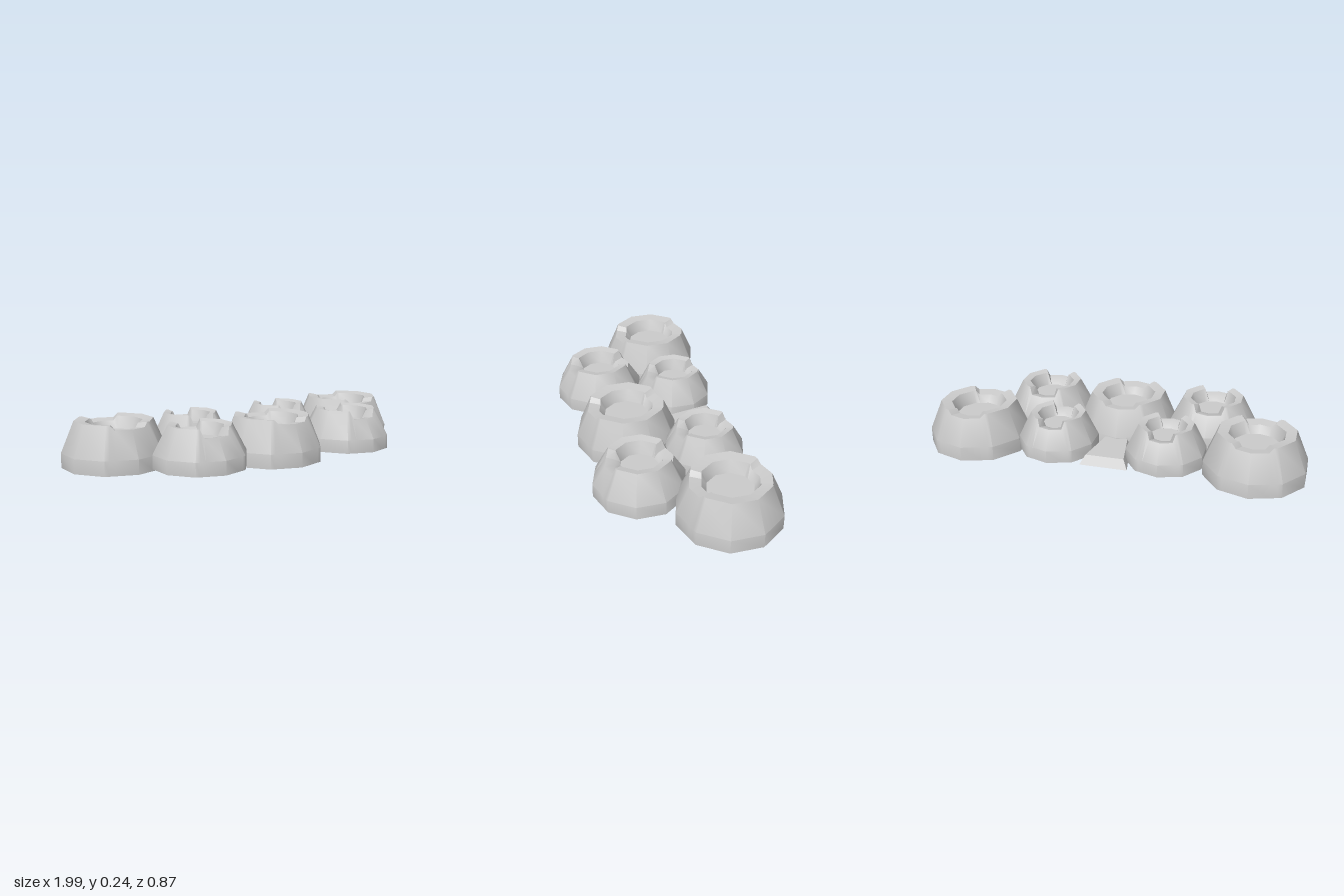
import * as THREE from 'three';
import { toCreasedNormals } from 'three/addons/utils/BufferGeometryUtils.js';

const material = new THREE.MeshStandardMaterial({ color: 0xcccccc, side: THREE.DoubleSide });

// columns around a pod (degrees): ten-sided corners plus the edges of the lowered sectors
const quadrant = [18, 54, 59, 66, 90];
const columns = [
  ...quadrant,
  ...quadrant.slice(0, 4).reverse().map((a) => 180 - a),
  ...quadrant.map((a) => 180 + a),
  ...quadrant.slice(0, 4).reverse().map((a) => 360 - a),
];

// radius factor of a ten-sided ring with corners on the z axis
function tenSided(deg) {
  const local = ((((deg - 90) % 36) + 36) % 36) - 18;
  return Math.cos(Math.PI / 10) / Math.cos(THREE.MathUtils.degToRad(local));
}

function mesh(name, positions) {
  const geometry = new THREE.BufferGeometry();
  geometry.setAttribute('position', new THREE.Float32BufferAttribute(positions, 3));
  const result = new THREE.Mesh(toCreasedNormals(geometry, THREE.MathUtils.degToRad(38)), material);
  result.name = name;
  return result;
}

// hollow crater: band, tapering wall, rim lowered at front and back, sunken floor
function pod(name, p, x, z) {
  const rows = columns.map((deg) => {
    const low = Math.abs(Math.sin(THREE.MathUtils.degToRad(deg))) > 0.9;
    const rimY = low ? p.low : p.top;
    const t = (rimY - p.band) / (p.top - p.band);
    const rimR = THREE.MathUtils.lerp(p.radius, p.rim, t) - (low ? p.recess : 0);
    const profile = [
      [p.radius, p.base], [p.radius, p.band], [rimR, rimY],
      [p.inner, rimY - 0.008], [p.floorRadius, p.floor], [0, p.floor],
    ];
    const k = tenSided(deg);
    const a = THREE.MathUtils.degToRad(deg);
    return profile.map(([r, y]) => [r * k * Math.cos(a), y, r * k * Math.sin(a)]);
  });
  const positions = [];
  rows.forEach((row, i) => {
    const next = rows[(i + 1) % rows.length];
    for (let j = 0; j < row.length - 1; j++) {
      if (j < row.length - 2) positions.push(...row[j], ...row[j + 1], ...next[j + 1]);
      positions.push(...row[j], ...next[j + 1], ...next[j]);
    }
  });
  const result = mesh(name, positions);
  result.position.set(x, 0, z);
  return result;
}

// tapered plate with bevelled sides
function plate() {
  const ring = (y, back, backZ, front, frontZ) => [
    [-back, y, backZ], [back, y, backZ], [front, y, frontZ], [-front, y, frontZ],
  ];
  const b = ring(0.025, 0.125, -0.36, 0.075, -0.1);
  const t = ring(0.07, 0.1, -0.33, 0.06, -0.1);
  const positions = [];
  const quad = (p, q, r, s) => positions.push(...p, ...q, ...r, ...p, ...r, ...s);
  quad(t[3], t[2], t[1], t[0]);
  quad(b[0], b[1], b[2], b[3]);
  for (let i = 0; i < 4; i++) {
    const n = (i + 1) % 4;
    quad(b[i], t[i], t[n], b[n]);
  }
  return mesh('rearPlate', positions);
}

export function createModel() {
  const group = new THREE.Group();
  group.name = 'craterCluster';

  const large = {
    radius: 0.267, rim: 0.2, inner: 0.145, floorRadius: 0.118,
    base: 0, band: 0.075, top: 0.235, low: 0.212, floor: 0.165, recess: 0.004,
  };
  const medium = {
    radius: 0.236, rim: 0.162, inner: 0.122, floorRadius: 0.096,
    base: 0.025, band: 0.095, top: 0.237, low: 0.195, floor: 0.165, recess: 0.012,
  };
  const small = {
    radius: 0.208, rim: 0.142, inner: 0.108, floorRadius: 0.086,
    base: 0.03, band: 0.095, top: 0.23, low: 0.19, floor: 0.163, recess: 0.01,
  };

  group.add(pod('centrePod', large, 0, 0.152));
  for (const [side, s] of [['left', 1], ['right', -1]]) {
    group.add(pod(side + 'OuterPod', large, s * 0.742, -0.17));
    group.add(pod(side + 'FrontPod', medium, s * 0.46, 0.199));
    group.add(pod(side + 'RearPod', small, s * 0.288, -0.19));
  }
  group.add(plate());
  return group;
}
